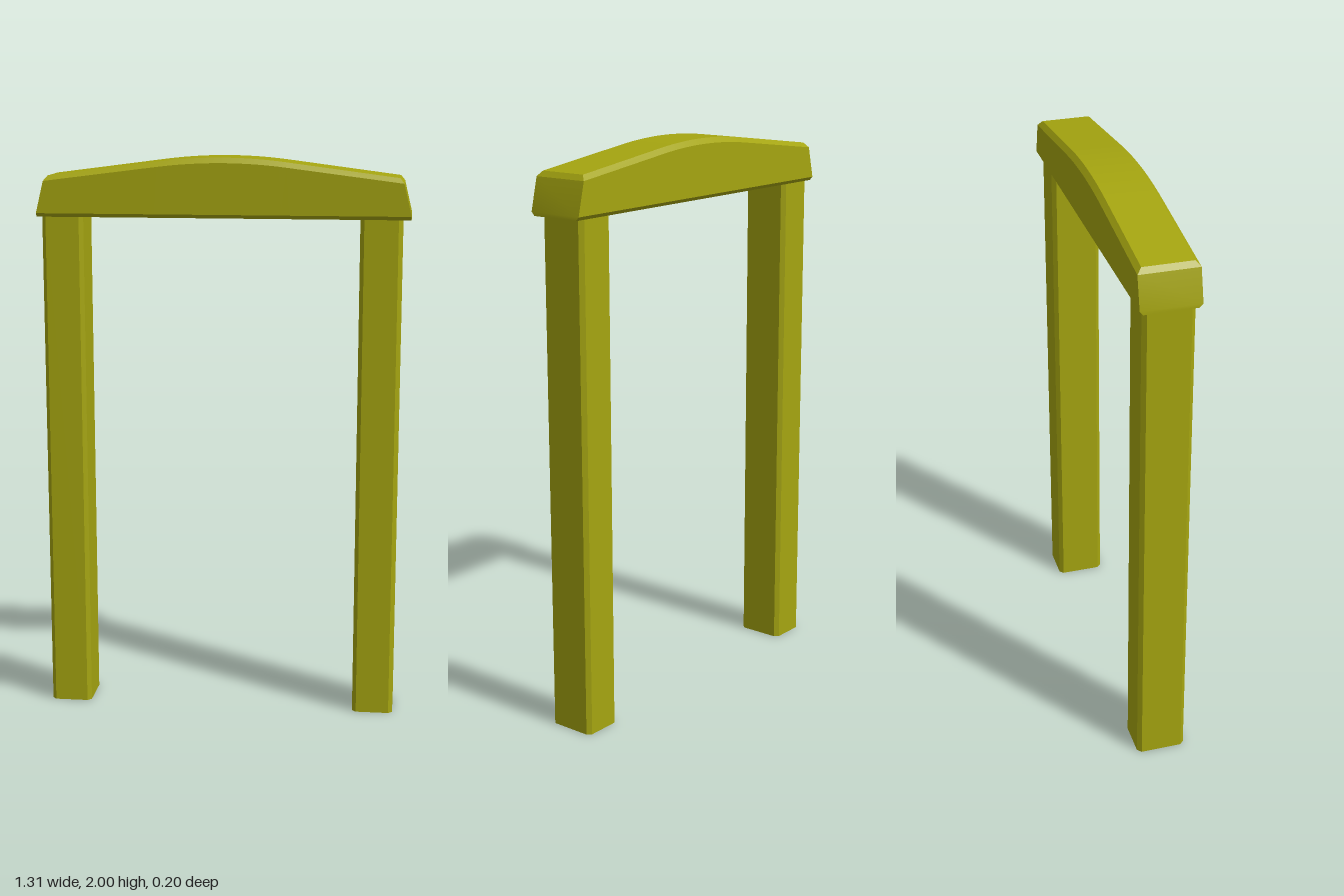
import * as THREE from 'three';
import { toCreasedNormals } from 'three/addons/utils/BufferGeometryUtils.js';

const material = new THREE.MeshStandardMaterial({ color: 0xa5a510, side: THREE.DoubleSide });

// Skin closed rings of points; caps pair each ring's first half with its mirrored second half.
function skin(rings, capped) {
  const n = rings[0].length;
  const index = [];
  const quad = (a, b, c, d) => index.push(a, b, c, a, c, d);
  for (let i = 0; i < rings.length - 1; i++) {
    for (let k = 0; k < n; k++) {
      const a = i * n + k, d = i * n + (k + 1) % n;
      quad(a, a + n, d + n, d);
    }
  }
  if (capped) {
    const last = (rings.length - 1) * n;
    for (let k = 0; k < n / 2 - 1; k++) {
      quad(k, k + 1, n - 2 - k, n - 1 - k);
      quad(last + n - 1 - k, last + n - 2 - k, last + k + 1, last + k);
    }
  }
  const geometry = new THREE.BufferGeometry();
  geometry.setAttribute('position', new THREE.Float32BufferAttribute(rings.flat(2), 3));
  geometry.setIndex(index);
  return toCreasedNormals(geometry, 0.3);
}

// Post: chamfered square tube, open at the foot
function createPost(name, x) {
  const w = 0.073, d = 0.087, c = 0.014;
  const outline = [
    [w, d - c], [w - c, d], [c - w, d], [-w, d - c],
    [-w, c - d], [c - w, -d], [w - c, -d], [w, c - d],
  ];
  const rings = [0, 1.8].map((y) => outline.map(([px, pz]) => [px, y, pz]));
  const post = new THREE.Mesh(skin(rings, false), material);
  post.name = name;
  post.position.x = x;
  return post;
}

// Lintel: straight slopes meeting in a soft crown, bevelled edges and leaning ends
function createLintel() {
  const end = 0.612, bend = 0.22, slope = 0.13;
  const crown = (x) => {
    const a = Math.abs(x);
    return a < bend
      ? 2 - slope * a * a / (2 * bend)
      : 2 - slope * bend / 2 - slope * (a - bend);
  };
  const stations = [-end];
  for (let i = -8; i <= 8; i++) stations.push(bend * i / 8);
  stations.push(end);

  const rings = stations.map((x) => {
    const top = crown(x);
    // Levels from the underside to the top: half length, height, half depth
    const levels = [
      [0.653, 1.792, 0.09], [0.653, 1.805, 0.102],
      [0.626, top - 0.018, 0.102], [end, top, 0.086],
    ];
    const side = (s) => levels.map(([half, y, z]) => [x * half / end, y, s * z]);
    return [...side(1), ...side(-1).reverse()];
  });
  const lintel = new THREE.Mesh(skin(rings, true), material);
  lintel.name = 'lintel';
  return lintel;
}

export function createModel() {
  const group = new THREE.Group();
  group.name = 'doorFrame';
  group.add(createPost('rightPost', -0.564), createPost('leftPost', 0.551), createLintel());
  return group;
}
